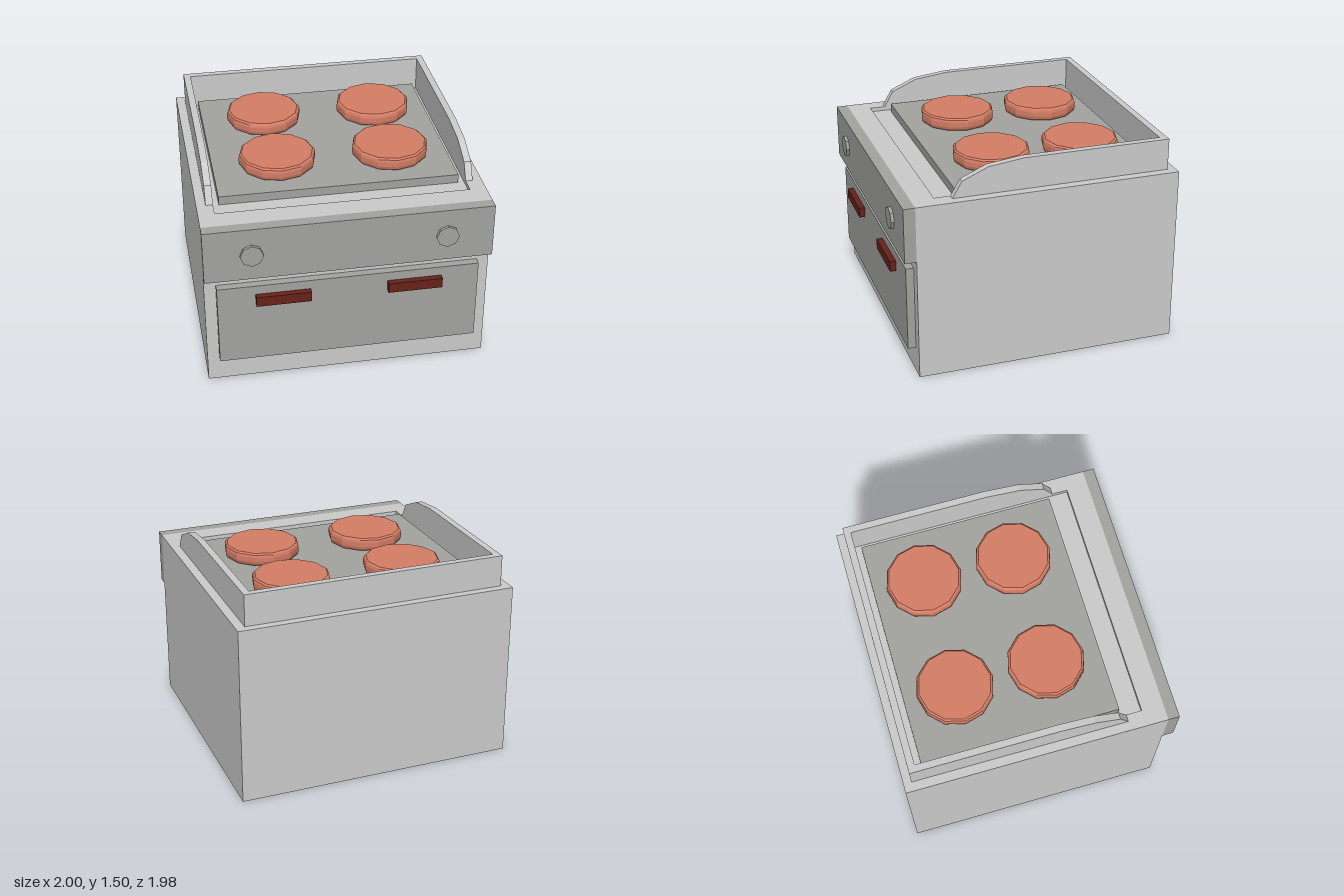
import * as THREE from 'three';

const grey = new THREE.MeshStandardMaterial({ color: 0xcccccc, flatShading: true });
const darkGrey = new THREE.MeshStandardMaterial({ color: 0xa3a3a0, flatShading: true });
const meat = new THREE.MeshStandardMaterial({ color: 0xd57e66, flatShading: true });
const handleRed = new THREE.MeshStandardMaterial({ color: 0x65221a, flatShading: true });

export function createModel() {
  const model = new THREE.Group();
  model.name = 'grill';

  const add = (name, geometry, material) => {
    const mesh = new THREE.Mesh(geometry, material);
    mesh.name = name;
    model.add(mesh);
    return mesh;
  };
  // Box given by its lower and upper limits on each axis
  const box = (name, material, x0, x1, y0, y1, z0, z1) =>
    add(name, new THREE.BoxGeometry(x1 - x0, y1 - y0, z1 - z0)
      .translate((x0 + x1) / 2, (y0 + y1) / 2, (z0 + z1) / 2), material);
  const rect = (Type, x0, x1, y0, y1) => new Type([
    new THREE.Vector2(x0, y0), new THREE.Vector2(x1, y0),
    new THREE.Vector2(x1, y1), new THREE.Vector2(x0, y1)]);

  // Cabinet, with a rim around the shallow recess on top
  box('body', grey, -1, 1, 0, 1.25, -0.992, 0.888);
  const rim = rect(THREE.Shape, -1, 1, -0.888, 0.992);
  rim.holes.push(rect(THREE.Path, -0.885, 0.885, -0.73, 0.885));
  add('topRim', new THREE.ExtrudeGeometry(rim, { depth: 0.03, bevelEnabled: false })
    .rotateX(-Math.PI / 2).translate(0, 1.25, 0), grey);

  // Cooking plate, control panel and door
  box('cookingPlate', darkGrey, -0.842, 0.842, 1.25, 1.313, -0.84, 0.578);
  box('controlPanel', darkGrey, -1, 1, 0.885, 1.28, 0.888, 0.97);
  box('door', darkGrey, -0.917, 0.917, 0.19, 0.803, 0.888, 0.944);

  // Splash guard: back wall and two curved-front side walls
  box('backGuard', grey, -0.885, 0.885, 1.28, 1.505, -0.935, -0.885);
  const side = new THREE.Shape([
    [0.617, 1.28], [0.55, 1.395], [0.365, 1.475], [0.115, 1.505], [-0.935, 1.505], [-0.935, 1.28],
  ].map(([z, y]) => new THREE.Vector2(-z, y)));
  for (const [name, x] of [['leftGuard', 0.885], ['rightGuard', -0.935]]) {
    add(name, new THREE.ExtrudeGeometry(side, { depth: 0.05, bevelEnabled: false })
      .rotateY(Math.PI / 2).translate(x, 0, 0), grey);
  }

  // Octagonal knobs and door handles, one per side
  for (const s of [-1, 1]) {
    const label = s > 0 ? 'left' : 'right';
    add(label + 'Knob', new THREE.CylinderGeometry(0.08, 0.08, 0.032, 8)
      .rotateX(Math.PI / 2), darkGrey).position.set(s * 0.673, 1.08, 0.976);
    const [x0, x1] = s > 0 ? [0.27, 0.652] : [-0.652, -0.27];
    box(label + 'Handle', handleRed, x0, x1, 0.66, 0.735, 0.944, 0.987);
  }

  // Patties with softened edges
  const profile = [[0, 0], [0.258, 0], [0.268, 0.012], [0.273, 0.03], [0.273, 0.064],
    [0.268, 0.082], [0.255, 0.093], [0, 0.093]].map(([r, y]) => new THREE.Vector2(r, y));
  const patty = new THREE.LatheGeometry(profile, 12);
  [[-0.385, -0.473], [0.445, -0.473], [-0.38, 0.184], [0.435, 0.184]].forEach(([x, z], i) => {
    add('patty' + (i + 1), patty, meat).position.set(x, 1.314, z);
  });

  return model;
}
